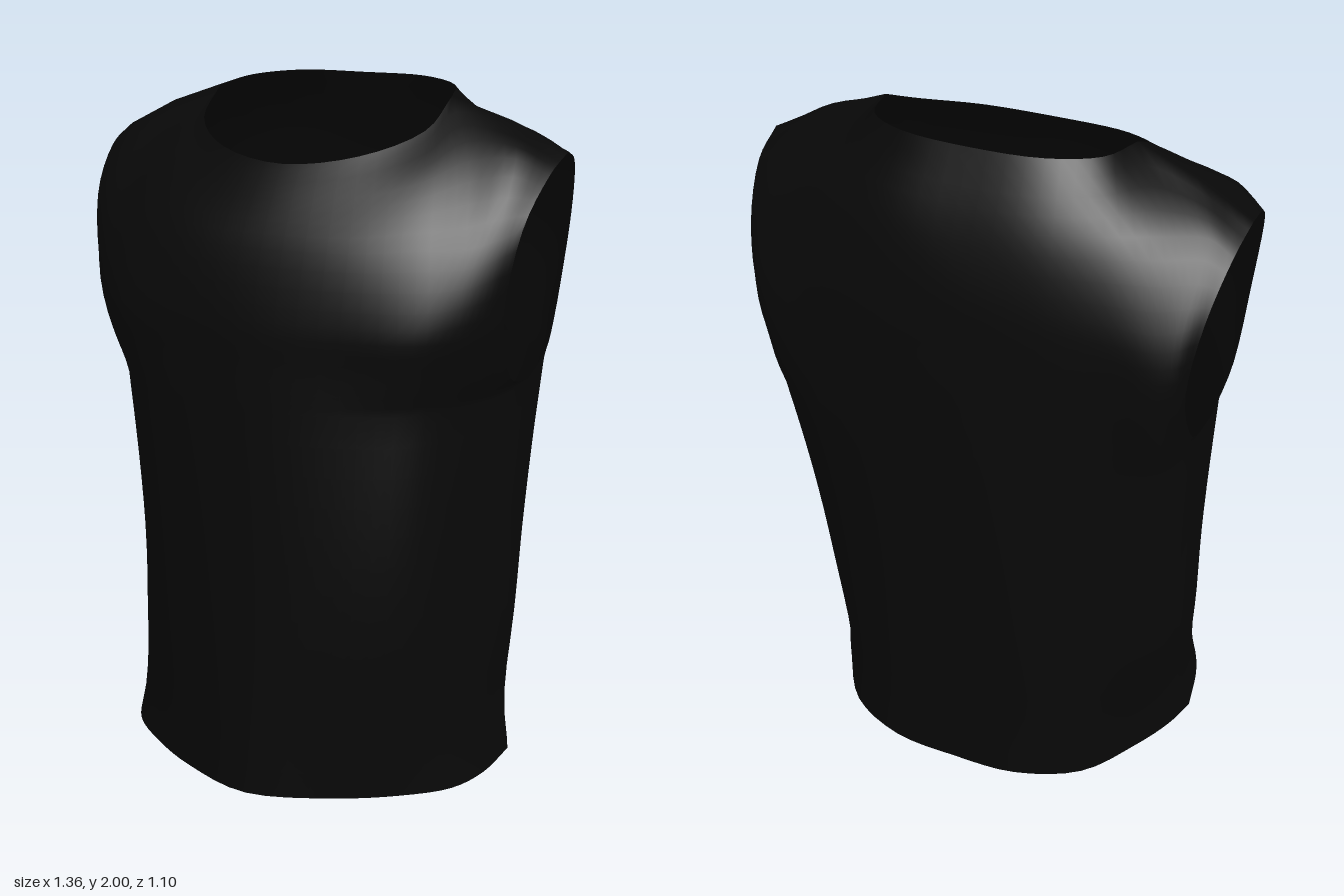
import * as THREE from 'three';
import { mergeGeometries, mergeVertices } from 'three/addons/utils/BufferGeometryUtils.js';

// Panel guide lines from centre to side; each runs hem, waist, underarm, four chest points, top edge
const FRONT = [
  [[0, .05, .55], [0, .6, .515], [0, 1.19, .475], [0, 1.3, .467], [0, 1.43, .455], [0, 1.62, .4], [0, 1.74, .325], [0, 1.82, .26]],
  [[.23, .035, .46], [.24, .6, .457], [.24, 1.19, .44], [.24, 1.3, .437], [.24, 1.43, .435], [.24, 1.62, .38], [.22, 1.75, .29], [.2, 1.845, .205]],
  [[.4, .02, .345], [.41, .6, .355], [.415, 1.19, .365], [.42, 1.3, .383], [.43, 1.43, .39], [.41, 1.63, .325], [.38, 1.79, .205], [.333, 1.9, .065]],
  [[.52, .012, .235], [.515, .6, .21], [.525, 1.19, .215], [.525, 1.28, .275], [.528, 1.44, .32], [.52, 1.63, .26], [.47, 1.835, .1], [.355, 1.975, -.09]],
  [[.577, .01, .115], [.578, .6, .065], [.585, 1.19, .065], [.582, 1.26, .17], [.587, 1.45, .25], [.59, 1.65, .205], [.585, 1.84, .05], [.52, 1.918, -.11]],
  [[.605, .01, -.05], [.597, .6, -.12], [.605, 1.19, -.09], [.607, 1.25, .1], [.612, 1.45, .2], [.64, 1.67, .155], [.668, 1.795, .01], [.68, 1.838, -.13]],
];
const BACK = [
  [[0, .018, -.547], [0, .6, -.54], [0, 1.19, -.53], [0, 1.3, -.525], [0, 1.47, -.515], [0, 1.66, -.495], [0, 1.84, -.43], [0, 2, -.33]],
  [[.2, .015, -.533], [.21, .6, -.53], [.22, 1.19, -.52], [.22, 1.3, -.515], [.22, 1.47, -.505], [.22, 1.66, -.48], [.21, 1.845, -.42], [.195, 2, -.312]],
  [[.385, .005, -.44], [.39, .6, -.465], [.42, 1.19, -.48], [.42, 1.3, -.48], [.42, 1.47, -.475], [.41, 1.65, -.45], [.375, 1.85, -.37], [.315, 1.99, -.23]],
  [[.5, 0, -.275], [.51, .6, -.37], [.555, 1.19, -.405], [.555, 1.29, -.44], [.548, 1.47, -.46], [.535, 1.64, -.425], [.503, 1.845, -.3], [.355, 1.975, -.09]],
  [[.57, .005, -.15], [.573, .6, -.25], [.598, 1.19, -.275], [.597, 1.27, -.36], [.595, 1.47, -.435], [.597, 1.65, -.4], [.603, 1.835, -.25], [.52, 1.918, -.11]],
  [[.605, .01, -.05], [.597, .6, -.12], [.605, 1.19, -.09], [.61, 1.25, -.28], [.615, 1.47, -.4], [.64, 1.66, -.365], [.668, 1.795, -.25], [.68, 1.838, -.13]],
];

const BODY_ROWS = 14, CHEST_ROWS = 20, SUB = 4, NECK = 3;
const ROWS = BODY_ROWS + CHEST_ROWS;

// Points on all guide lines at one row: body with a slight nip above the hem, curved chest
function guidePoints(lines, row) {
  return lines.map((line) => {
    const pts = line.map((p) => new THREE.Vector3(...p));
    if (row > BODY_ROWS) {
      return new THREE.CatmullRomCurve3(pts.slice(2)).getPoint((row - BODY_ROWS) / CHEST_ROWS);
    }
    const p = new THREE.CatmullRomCurve3(pts.slice(0, 3)).getPoint(row / BODY_ROWS);
    if (row > 0) p.x *= 1 - 0.028 * Math.exp(-(((p.y - 0.18) / 0.18) ** 2));
    return p;
  });
}

// Curve across the panel through the guide points and their mirror images
function acrossCurve(half) {
  const mirrored = half.slice(1).reverse().map((p) => new THREE.Vector3(-p.x, p.y, p.z));
  return new THREE.CatmullRomCurve3([...mirrored, ...half]);
}

// Top edge: rounded neckline, then straight shoulder seams so front and back meet exactly
function topEdgePoint(half, neckline, s) {
  const side = Math.abs(s);
  if (side < NECK) return neckline.getPoint((s + NECK) / (2 * NECK));
  const i = Math.min(Math.floor(side), half.length - 2);
  const p = half[i].clone().lerp(half[i + 1], side - i);
  p.x *= Math.sign(s);
  return p;
}

// Sheet spanning both halves of a panel, with the cloth twisted slightly at the waist
function panel(lines, flip) {
  const last = lines.length - 1;
  const cols = last * 2 * SUB;
  const position = [], index = [];
  for (let r = 0; r <= ROWS; r++) {
    const half = guidePoints(lines, r);
    const curve = acrossCurve(half);
    const neckline = acrossCurve(half.slice(0, NECK + 1));
    const twist = r < BODY_ROWS ? 0.08 * Math.sin((Math.PI * r) / BODY_ROWS) : 0;
    for (let c = 0; c <= cols; c++) {
      const p = r === ROWS ? topEdgePoint(half, neckline, c / SUB - last) : curve.getPoint(c / cols);
      position.push(p.x, p.y, p.z + twist * p.x);
      if (r < ROWS && c < cols) {
        const a = r * (cols + 1) + c, b = a + 1, d = a + cols + 1, e = d + 1;
        index.push(...(flip ? [a, e, b, a, d, e] : [a, b, e, a, e, d]));
      }
    }
  }
  const geometry = new THREE.BufferGeometry();
  geometry.setAttribute('position', new THREE.Float32BufferAttribute(position, 3));
  geometry.setIndex(index);
  return geometry;
}

export function createModel() {
  const group = new THREE.Group();
  group.name = 'sleevelessTop';

  const fabric = new THREE.MeshStandardMaterial({ color: 0x080808, side: THREE.DoubleSide });
  fabric.name = 'black fabric';

  // Front and back joined along side and shoulder seams
  const geometry = mergeVertices(mergeGeometries([panel(FRONT, false), panel(BACK, true)]), 1e-4);
  geometry.computeVertexNormals();
  const garment = new THREE.Mesh(geometry, fabric);
  garment.name = 'garment';
  group.add(garment);
  return group;
}
